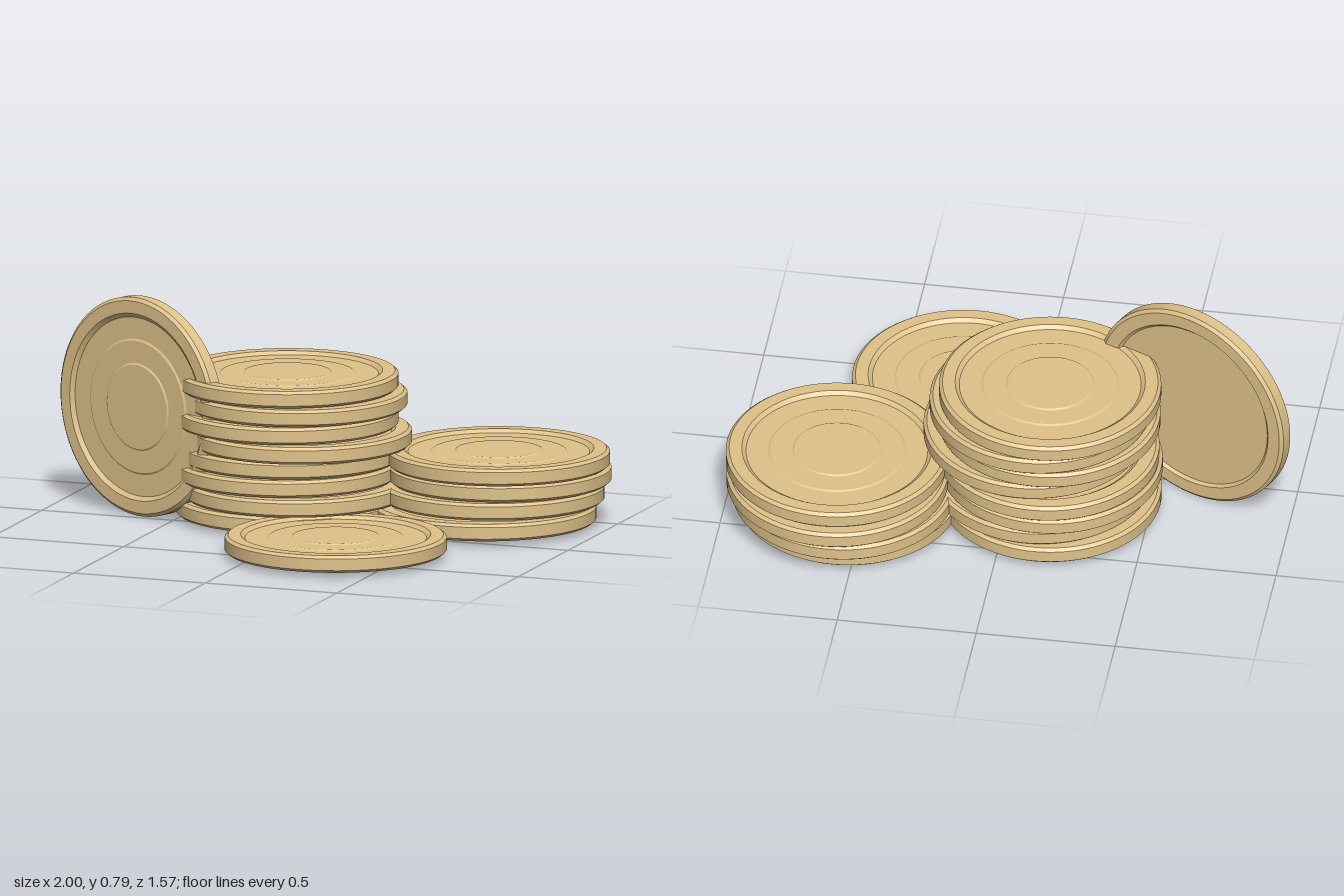
import * as THREE from 'three';
import { toCreasedNormals } from 'three/addons/utils/BufferGeometryUtils.js';

const RADIUS = 0.395;
const HALF = 0.031; // half the coin thickness
const PITCH = 0.065; // height step between stacked coins

// Coin profile, bottom centre -> rim -> top centre, with a recessed face and raised steps
function coinGeometry() {
  const profile = [
    [0, -HALF + 0.01], [0.325, -HALF + 0.01], [0.335, -HALF], [RADIUS - 0.012, -HALF],
    [RADIUS, -HALF + 0.01], [RADIUS, HALF - 0.01], [RADIUS - 0.012, HALF],
    [0.338, HALF], [0.323, HALF - 0.012], [0.245, HALF - 0.012], [0.238, HALF - 0.008],
    [0.158, HALF - 0.008], [0.152, HALF - 0.004], [0, HALF - 0.004],
  ].map(([r, y]) => new THREE.Vector2(r, y));
  return toCreasedNormals(new THREE.LatheGeometry(profile, 80), 0.35);
}

export function createModel() {
  const model = new THREE.Group();
  const gold = new THREE.MeshStandardMaterial({ color: 0xdfc28a });
  const geometry = coinGeometry();

  const addCoin = (parent, name, x, y, z) => {
    const coin = new THREE.Mesh(geometry, gold);
    coin.name = name;
    coin.position.set(x, y, z);
    parent.add(coin);
    return coin;
  };

  // Stack of coins, each slightly shifted: centres are [x, z] from the bottom up
  const addStack = (name, centres) => {
    const stack = new THREE.Group();
    stack.name = name;
    centres.forEach(([x, z], i) => addCoin(stack, `${name}Coin${i + 1}`, x, 0.051 + i * PITCH, z));
    model.add(stack);
  };

  addStack('tallStack', [
    [-0.14, -0.19], [-0.105, -0.175], [-0.145, -0.195], [-0.135, -0.205],
    [-0.08, -0.17], [-0.135, -0.18], [-0.105, -0.19], [-0.14, -0.195],
  ]);
  addStack('shortStack', [[0.565, -0.32], [0.575, -0.375], [0.595, -0.39], [0.602, -0.357]]);
  addStack('singleCoin', [[0.265, 0.39]]);

  // Coin standing on its edge against the tall stack, face turned to the front
  const standing = addCoin(model, 'standingCoin', -0.637, 0.397, -0.05);
  standing.rotation.set(Math.PI / 2, 0, THREE.MathUtils.degToRad(25));
  standing.rotation.order = 'YXZ';
  standing.rotation.set(Math.PI / 2, THREE.MathUtils.degToRad(-25), 0);

  return model;
}
